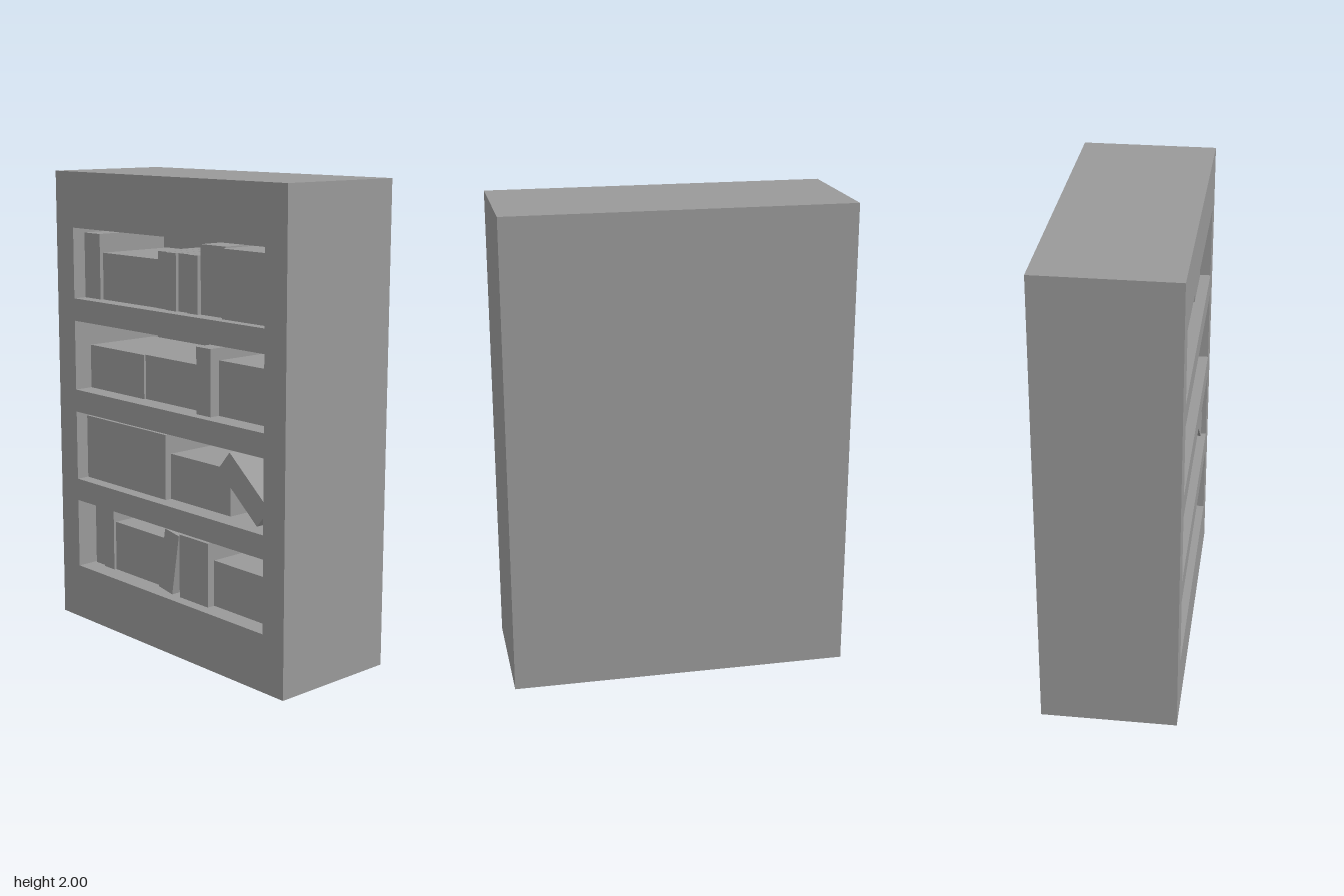
import * as THREE from 'three';

const W = 1.426, H = 2, D = 0.57, FRONT = D / 2;
const BACK = 0.1;          // thickness of the back panel
const BOOK_DEPTH = 0.36;
const OPEN_X = 0.595;      // half width of every opening

// Each shelf: floor, ceiling and upright books [left, right, top, setback]
const shelves = [
  { floor: 1.455, ceil: 1.761, books: [
    [-0.594, -0.487, 1.737, 0.06], [-0.478, -0.107, 1.657, 0.07],
    [-0.105, -0.046, 1.692, 0.065], [-0.042, 0.02, 1.692, 0.055],
    [0.025, 0.087, 1.692, 0.065], [0.09, 0.152, 1.692, 0.055],
    [0.155, 0.302, 1.737, 0.07], [0.308, 0.582, 1.732, 0.045]] },
  { floor: 1.051, ceil: 1.357, books: [
    [-0.594, -0.225, 1.242, 0.084], [-0.225, 0.155, 1.242, 0.094],
    [0.155, 0.24, 1.328, 0.045], [0.243, 0.59, 1.278, 0.09]] },
  { floor: 0.646, ceil: 0.952, books: [
    [-0.594, -0.056, 0.927, 0.057], [-0.056, 0.315, 0.842, 0.087]] },
  { floor: 0.242, ceil: 0.548, books: [
    [-0.585, -0.515, 0.528, 0.09], [-0.511, -0.443, 0.528, 0.08],
    [-0.44, -0.103, 0.462, 0.09], [0.04, 0.218, 0.517, 0.05],
    [0.218, 0.585, 0.438, 0.085]] },
];

// Tilted books: centre x, centre y, width, height, roll, setback
const leaning = [
  [0.46, 0.80, 0.105, 0.295, THREE.MathUtils.degToRad(50), 0.02],
  [-0.025, 0.385, 0.09, 0.27, THREE.MathUtils.degToRad(-9.6), 0.045],
];

function rectPath(Type, x0, x1, y0, y1) {
  return new Type([
    new THREE.Vector2(x0, y0), new THREE.Vector2(x1, y0),
    new THREE.Vector2(x1, y1), new THREE.Vector2(x0, y1),
  ]);
}

export function createModel() {
  const group = new THREE.Group();
  group.name = 'bookcase';
  const material = new THREE.MeshStandardMaterial({ color: 0x999999, flatShading: true });

  const add = (name, geometry, x, y, z, parent = group) => {
    const mesh = new THREE.Mesh(geometry, material);
    mesh.name = name;
    mesh.position.set(x, y, z);
    parent.add(mesh);
    return mesh;
  };

  // Thick case pierced by four openings
  const face = rectPath(THREE.Shape, -W / 2, W / 2, 0, H);
  for (const { floor, ceil } of shelves) {
    face.holes.push(rectPath(THREE.Path, -OPEN_X, OPEN_X, floor, ceil));
  }
  add('case', new THREE.ExtrudeGeometry(face, { depth: D - BACK, bevelEnabled: false }),
    0, 0, -FRONT + BACK);
  add('backPanel', new THREE.BoxGeometry(W, H, BACK), 0, H / 2, -FRONT + BACK / 2);

  // Upright books, row by row
  shelves.forEach(({ floor, books }, i) => {
    const row = new THREE.Group();
    row.name = `bookRow${i + 1}`;
    group.add(row);
    for (const [x0, x1, top, setback] of books) {
      add('book', new THREE.BoxGeometry(x1 - x0, top - floor, BOOK_DEPTH),
        (x0 + x1) / 2, (top + floor) / 2, FRONT - setback - BOOK_DEPTH / 2, row);
    }
  });

  // Books resting at an angle
  for (const [x, y, w, h, roll, setback] of leaning) {
    add('leaningBook', new THREE.BoxGeometry(w, h, BOOK_DEPTH),
      x, y, FRONT - setback - BOOK_DEPTH / 2).rotation.z = roll;
  }

  return group;
}
